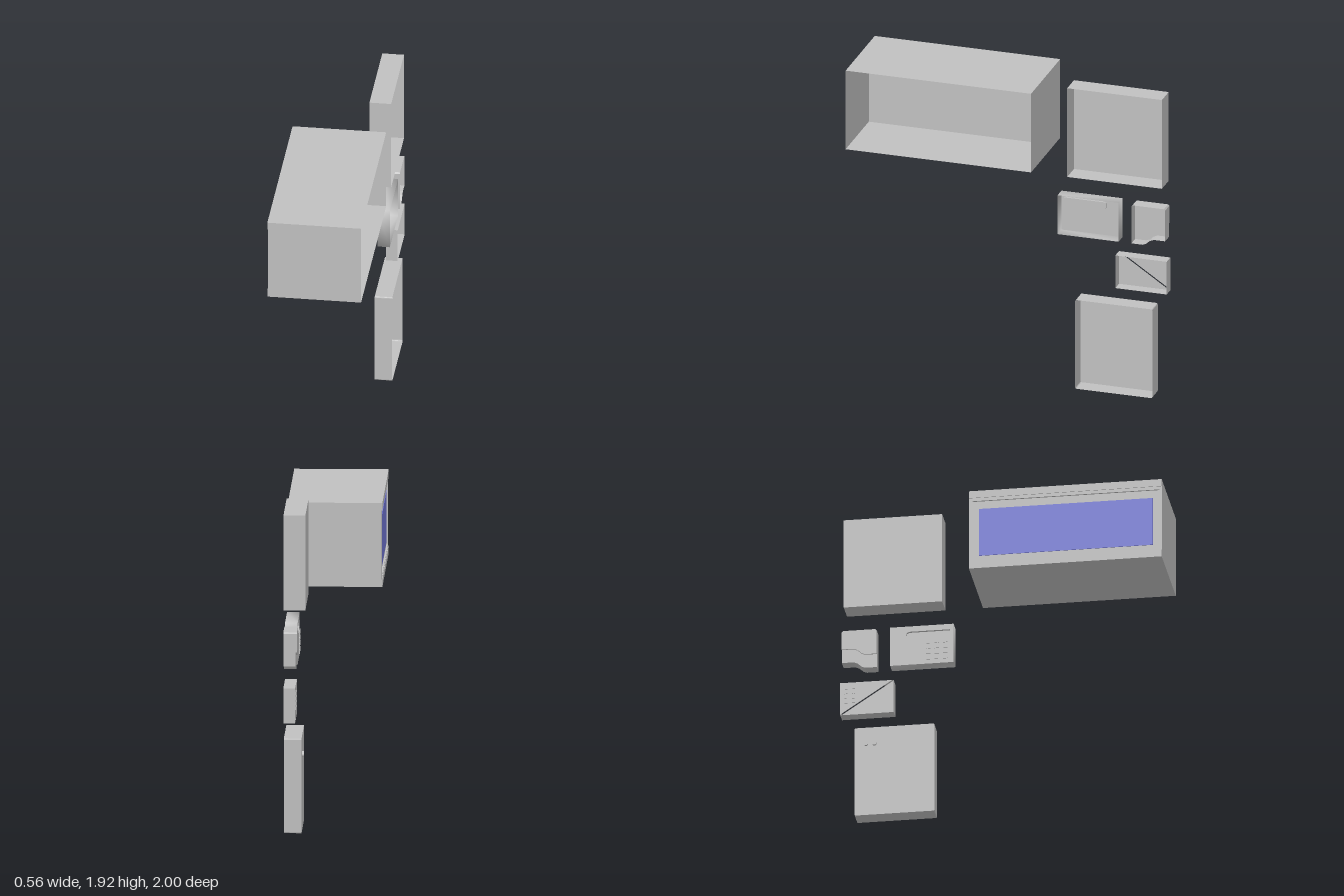
import * as THREE from 'three';

// Parts are laid out in (u, v, w) = (model z, model y, -model x); the group is turned once at the end.
const BACK = -0.28;

const makeShape = (pts) => new THREE.Shape(pts.map(([u, v]) => new THREE.Vector2(u, v)));
const rect = (u0, u1, v0, v1) => [[u0, v0], [u1, v0], [u1, v1], [u0, v1]];

// Rectangle outline with small rounded corners, counter-clockwise
function roundRect(u0, u1, v0, v1, r, n = 3) {
  const pts = [];
  [[u1 - r, v0 + r, -0.5], [u1 - r, v1 - r, 0], [u0 + r, v1 - r, 0.5], [u0 + r, v0 + r, 1]].forEach(([cu, cv, a]) => {
    for (let i = 0; i <= n; i++) {
      const t = (a + (0.5 * i) / n) * Math.PI;
      pts.push([cu + r * Math.cos(t), cv + r * Math.sin(t)]);
    }
  });
  return pts;
}

// Thin wall following an outline between two depths
function wall(pts, w0, w1, smooth) {
  const pos = [], idx = [], n = pts.length;
  for (const [u, v] of pts) pos.push(u, v, w0, u, v, w1);
  for (let i = 0; i < n; i++) {
    const a = 2 * i, b = 2 * ((i + 1) % n);
    idx.push(a, b, b + 1, a, b + 1, a + 1);
  }
  let g = new THREE.BufferGeometry();
  g.setAttribute('position', new THREE.Float32BufferAttribute(pos, 3));
  g.setIndex(idx);
  if (!smooth) g = g.toNonIndexed();
  g.computeVertexNormals();
  return g;
}

export function createModel() {
  const grey = new THREE.MeshStandardMaterial({ color: 0xc0c0c0, side: THREE.DoubleSide });
  grey.name = 'grey casing';
  const blue = new THREE.MeshStandardMaterial({ color: 0x7378d8 });
  blue.name = 'blue window';

  const root = new THREE.Group();
  root.name = 'wallUnits';
  const layout = new THREE.Group();
  layout.name = 'layout';
  layout.rotation.y = -Math.PI / 2;
  root.add(layout);

  const unit = (name) => {
    const g = new THREE.Group();
    g.name = name;
    layout.add(g);
    return g;
  };
  const add = (parent, name, geo, mat = grey) => {
    const m = new THREE.Mesh(geo, mat);
    m.name = name;
    parent.add(m);
    return m;
  };
  const face = (parent, name, pts, w, holes = []) => {
    const s = makeShape(pts);
    holes.forEach((h) => s.holes.push(makeShape(h)));
    return add(parent, name, new THREE.ShapeGeometry(s).translate(0, 0, w));
  };
  const block = (parent, name, u0, u1, v0, v1, w0, w1, mat) =>
    add(parent, name, new THREE.BoxGeometry(u1 - u0, v1 - v0, w1 - w0)
      .translate((u0 + u1) / 2, (v0 + v1) / 2, (w0 + w1) / 2), mat);
  // Open-backed case: side wall plus front face
  const openCase = (name, pts, front, { smooth = false, holes = [] } = {}) => {
    const g = unit(name);
    add(g, 'sideWall', wall(pts, BACK, front, smooth));
    face(g, 'frontFace', pts, front, holes);
    return g;
  };
  // Grid of small square keys
  const keys = (parent, us, vs, size, front) => us.forEach((u) => vs.forEach((v) =>
    block(parent, 'key', u - size / 2, u + size / 2, v - size / 2, v + size / 2, front, front + 0.006)));

  // Large cabinet with window, rails and an inner rear wall
  const cabinet = openCase('cabinet', rect(-0.155, 1, 1.355, 1.86), 0.266);
  face(cabinet, 'innerWall', rect(-0.155, 1, 1.355, 1.86), 0.165);
  block(cabinet, 'topRail', -0.155, 1, 1.815, 1.86, 0.266, 0.28);
  block(cabinet, 'bottomRail', -0.155, 1, 1.355, 1.4, 0.266, 0.28);
  const frame = makeShape(rect(-0.155, 1, 1.4, 1.815));
  frame.holes.push(makeShape(rect(-0.135, 0.985, 1.41, 1.795)));
  add(cabinet, 'windowFrame', new THREE.ExtrudeGeometry(frame, { depth: 0.01, bevelEnabled: false }).translate(0, 0, 0.266));
  block(cabinet, 'window', -0.095, 0.945, 1.44, 1.745, 0.266, 0.27, blue);

  // Plain upper box
  openCase('upperBox', rect(-0.97, -0.38, 1.355, 1.925), -0.15);

  // Keypad unit with a recessed slot
  const slot = [[-0.34, 1.195], [-0.585, 1.195], [-0.6, 1.188], [-0.605, 1.173], [-0.6, 1.157], [-0.585, 1.15], [-0.34, 1.15]];
  const keypad = openCase('keypadUnit', rect(-0.7, -0.32, 0.98, 1.23), -0.205, { smooth: true, holes: [slot] });
  add(keypad, 'slotWall', wall(slot, -0.22, -0.205));
  face(keypad, 'slotFloor', slot, -0.22);
  keys(keypad, [-0.47, -0.42, -0.37], [1.02, 1.055, 1.09, 1.125], 0.026, -0.205);

  // Small reader with a curved lower edge and a raised cover
  const curve = (dy) => [[-0.99, 1.02 + dy], [-0.92, 1.02 + dy], [-0.895, 1.01 + dy], [-0.87, 0.988 + dy], [-0.85, 0.98 + dy], [-0.78, 0.98 + dy]];
  const top = [[-0.78, 1.217], [-0.788, 1.225], [-0.982, 1.225], [-0.99, 1.217]];
  const reader = openCase('reader', [...curve(0), ...top], -0.208);
  const cover = [...curve(0.085), ...top];
  add(reader, 'coverEdge', wall(cover, -0.208, -0.2));
  face(reader, 'coverFace', cover, -0.2);

  // Small box whose face is split along the diagonal
  const split = unit('splitFaceBox');
  add(split, 'sideWall', wall(rect(-1, -0.68, 0.68, 0.89), BACK, -0.21));
  face(split, 'lowerFace', [[-0.993, 0.68], [-0.68, 0.68], [-0.68, 0.886]], -0.21);
  face(split, 'upperFace', [[-1, 0.684], [-0.687, 0.89], [-1, 0.89]], -0.21);
  keys(split, [-0.965, -0.92], [0.765, 0.795, 0.825, 0.855], 0.018, -0.21);

  // Lower box with softened corners and two knobs
  const lower = openCase('lowerBox', roundRect(-0.91, -0.43, 0.002, 0.572, 0.008), -0.175);
  for (const u of [-0.84, -0.79]) {
    add(lower, 'knob', new THREE.CylinderGeometry(0.013, 0.013, 0.012, 16).rotateX(Math.PI / 2).translate(u, 0.465, -0.169));
  }

  return root;
}
